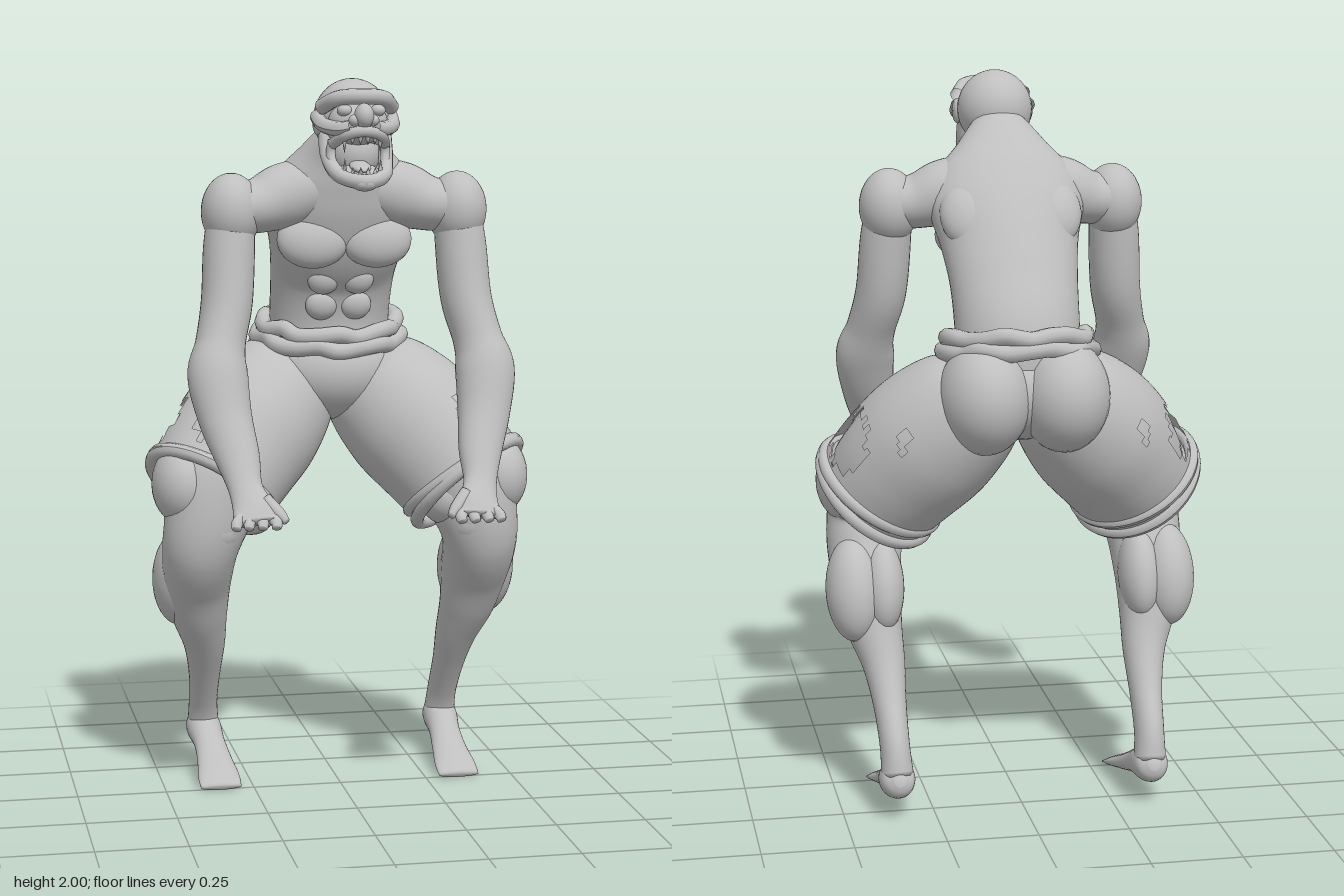
import * as THREE from 'three';

const V = (x, y, z) => new THREE.Vector3(x, y, z);
const Z = V(0, 0, 1), Y = V(0, 1, 0);

// Smooth skin through sections [x, y, z, halfWidth, halfDepth]; hole(u, angle) leaves faces out
function loft(sections, { ref = Z, sides = 32, steps = 6, open = false, hole = null } = {}) {
  const path = new THREE.CatmullRomCurve3(sections.map(s => V(s[0], s[1], s[2])), false, 'catmullrom');
  const size = new THREE.CatmullRomCurve3(sections.map(s => V(s[3], s[4] ?? s[3], 0)), false, 'catmullrom');
  const rows = (sections.length - 1) * steps, pos = [], idx = [];
  for (let i = 0; i <= rows; i++) {
    const t = i / rows, c = path.getPoint(t), r = size.getPoint(t), T = path.getTangent(t);
    const D = ref.clone().addScaledVector(T, -T.dot(ref)).normalize();
    const S = D.clone().cross(T);
    for (let j = 0; j < sides; j++) {
      const a = j / sides * Math.PI * 2;
      pos.push(...c.clone().addScaledVector(S, r.x * Math.cos(a)).addScaledVector(D, r.y * Math.sin(a)).toArray());
    }
  }
  for (let i = 0; i < rows; i++) for (let j = 0; j < sides; j++) {
    if (hole && hole((i + 0.5) / rows, (j + 0.5) / sides * 360)) continue;
    const k = (j + 1) % sides, a = i * sides + j, b = i * sides + k;
    idx.push(a, b, a + sides, b, b + sides, a + sides);
  }
  if (!open) {
    const p0 = pos.length / 3;
    pos.push(...path.getPoint(0).toArray(), ...path.getPoint(1).toArray());
    for (let j = 0; j < sides; j++) {
      const k = (j + 1) % sides;
      idx.push(p0, k, j, p0 + 1, rows * sides + j, rows * sides + k);
    }
  }
  const g = new THREE.BufferGeometry();
  g.setAttribute('position', new THREE.Float32BufferAttribute(pos, 3));
  g.setIndex(idx);
  g.computeVertexNormals();
  return g;
}

// Ellipsoid, tilted about x then z
function blob(x, y, z, rx, ry, rz, tiltX = 0, tiltZ = 0) {
  return new THREE.SphereGeometry(1, 32, 20).scale(rx, ry, rz).rotateX(tiltX).rotateZ(tiltZ).translate(x, y, z);
}

function tube(points, r, closed = false) {
  const curve = new THREE.CatmullRomCurve3(points.map(p => V(...p)), closed);
  return new THREE.TubeGeometry(curve, closed ? 80 : 28, r, 10, closed);
}

// Copy of a geometry on the other side of the body
function mirrored(geo) {
  const g = geo.clone().scale(-1, 1, 1), ix = g.index.array;
  for (let i = 0; i < ix.length; i += 3) [ix[i + 1], ix[i + 2]] = [ix[i + 2], ix[i + 1]];
  g.computeVertexNormals();
  return g;
}

export function createModel() {
  const model = new THREE.Group();
  model.name = 'crouchingGhoul';
  const clay = new THREE.MeshStandardMaterial({ color: 0xbfbfbf, side: THREE.DoubleSide });
  clay.name = 'grey clay';
  const add = (name, geo) => {
    const m = new THREE.Mesh(geo, clay);
    m.name = name;
    model.add(m);
  };
  const pair = (name, geo) => {
    add(name + 'Left', geo);
    add(name + 'Right', mirrored(geo));
  };

  // Torso leaning forward into the neck
  add('torso', loft([
    [0, 1.2, -0.18, 0.17, 0.16], [0, 1.32, -0.18, 0.17, 0.15], [0, 1.45, -0.13, 0.175, 0.13],
    [0, 1.55, -0.065, 0.19, 0.135], [0, 1.65, -0.01, 0.215, 0.125], [0, 1.73, 0.03, 0.19, 0.105],
    [0, 1.8, 0.07, 0.125, 0.08], [0, 1.86, 0.12, 0.07, 0.065]], { sides: 48 }));
  pair('chestMuscle', blob(0.088, 1.56, 0.055, 0.1, 0.08, 0.055, -0.3));
  pair('shoulderBlade', blob(0.11, 1.63, -0.085, 0.085, 0.1, 0.055, 0.5, -0.15));
  for (let i = 0; i < 2; i++)
    pair('abdominal' + (i + 1), blob(0.048, 1.37 + i * 0.075, -0.035 + i * 0.035, 0.045, 0.042, 0.03, 0.2));

  // Shoulders, arms and hands
  pair('collar', loft([[0.05, 1.71, 0.03, 0.08], [0.16, 1.68, 0.035, 0.09], [0.24, 1.655, 0.05, 0.075, 0.085],
    [0.31, 1.65, 0.06, 0.07, 0.085]]));
  pair('deltoid', blob(0.314, 1.64, 0.062, 0.082, 0.105, 0.095));
  pair('arm', loft([
    [0.31, 1.68, 0.06, 0.06, 0.07], [0.322, 1.55, 0.075, 0.07, 0.078], [0.333, 1.4, 0.1, 0.07, 0.083],
    [0.357, 1.29, 0.14, 0.068, 0.075], [0.37, 1.21, 0.175, 0.082, 0.076], [0.357, 1.1, 0.22, 0.073, 0.066],
    [0.333, 1, 0.28, 0.06, 0.05], [0.32, 0.925, 0.335, 0.046, 0.034], [0.306, 0.875, 0.382, 0.056, 0.024],
    [0.302, 0.845, 0.41, 0.064, 0.015]]));
  [0.25, 0.286, 0.322, 0.355].forEach((x, i) => pair('finger' + (i + 1), loft([
    [x * 0.6 + 0.12, 0.868, 0.385, 0.014], [x, 0.845, 0.412, 0.016, 0.014], [x + 0.003, 0.832, 0.426, 0.012, 0.009]],
    { sides: 12 })));
  pair('thumb', loft([[0.275, 0.9, 0.37, 0.02], [0.24, 0.865, 0.395, 0.017], [0.222, 0.845, 0.41, 0.01]], { sides: 12 }));

  // Pelvis and rolled waistband
  add('pelvis', blob(0, 1.175, -0.18, 0.2, 0.145, 0.185));
  pair('buttock', blob(0.108, 1.165, -0.275, 0.125, 0.155, 0.155));
  for (let k = 0; k < 2; k++) {
    const ring = [];
    for (let i = 0; i < 20; i++) {
      const a = i / 20 * Math.PI * 2, w = 0.007 * Math.sin(i * 2.3 + k * 2);
      ring.push([Math.cos(a) * (0.2 - k * 0.012) + w, 1.275 + k * 0.035 - 0.028 * Math.sin(a) + w,
        -0.185 + Math.sin(a) * (0.172 - k * 0.006)]);
    }
    add(k ? 'waistbandUpperRoll' : 'waistbandLowerRoll', tube(ring, 0.024, true));
  }

  // Torn trouser legs; angle 0 faces outward, 90 forward, 270 back
  const torn = (u, d) => {
    const a = d > 180 ? d - 360 : d, jag = 0.03 * Math.sin(a * 0.5) + 0.02 * Math.sin(a * 1.3);
    const spot = (cu, ca, ru, ra) => ((u - cu + jag) / ru) ** 2 + ((a - ca) / ra) ** 2 < 1;
    return spot(0.78, -22, 0.14, 30) || spot(0.76, 48, 0.1, 15) || spot(0.5, -62, 0.04, 6);
  };
  pair('trouserLeg', loft([
    [0.08, 1.19, -0.2, 0.12], [0.135, 1.13, -0.18, 0.17], [0.22, 1.04, -0.13, 0.198],
    [0.3, 0.95, -0.075, 0.195], [0.37, 0.86, -0.02, 0.183]], { sides: 72, steps: 12, open: true, hole: torn }));
  const axis = new THREE.Quaternion().setFromUnitVectors(Z, V(0.52, -0.7, 0.45).normalize());
  [0, 1].forEach(k => pair(k ? 'hemUpperRoll' : 'hemLowerRoll', new THREE.TorusGeometry(0.18, 0.019, 10, 56)
    .rotateX(k * 0.13).applyQuaternion(axis).translate(0.37 - k * 0.012, 0.86 + k * 0.018, -0.02 - k * 0.012)));

  // Bare legs with heavy muscles
  pair('leg', loft([
    [0.12, 1.13, -0.18, 0.14], [0.22, 1.04, -0.13, 0.182], [0.3, 0.95, -0.075, 0.18], [0.36, 0.87, -0.01, 0.155],
    [0.385, 0.78, 0.025, 0.12, 0.115], [0.4, 0.7, 0.005, 0.105, 0.115], [0.4, 0.6, -0.055, 0.095, 0.105],
    [0.39, 0.5, -0.095, 0.08, 0.085], [0.37, 0.4, -0.145, 0.06, 0.065], [0.362, 0.3, -0.205, 0.046, 0.055],
    [0.358, 0.2, -0.268, 0.041, 0.056], [0.355, 0.12, -0.295, 0.045, 0.05]]));
  pair('outerThighMuscle', blob(0.445, 0.885, 0.01, 0.088, 0.115, 0.115, -0.3));
  pair('innerThighMuscle', blob(0.31, 0.83, 0.02, 0.09, 0.085, 0.1));
  pair('kneecap', blob(0.37, 0.765, 0.06, 0.08, 0.075, 0.075));
  pair('outerCalf', blob(0.444, 0.6, -0.095, 0.078, 0.145, 0.095, 0.3));
  pair('innerCalf', blob(0.365, 0.61, -0.1, 0.06, 0.13, 0.085, 0.35));
  pair('foot', loft([
    [0.355, 0.125, -0.35, 0.015], [0.355, 0.115, -0.325, 0.042, 0.045], [0.355, 0.108, -0.28, 0.05, 0.052],
    [0.35, 0.085, -0.2, 0.045, 0.036], [0.346, 0.055, -0.12, 0.05, 0.026], [0.345, 0.028, -0.04, 0.059, 0.018],
    [0.345, 0.011, 0.01, 0.058, 0.009]], { ref: Y }));

  // Bald head with gaping jaw
  add('skull', blob(0, 1.892, 0.165, 0.104, 0.108, 0.11));
  add('face', blob(0, 1.885, 0.245, 0.08, 0.06, 0.075));
  add('throat', blob(0, 1.8, 0.19, 0.07, 0.075, 0.075));
  add('brow', tube([[-0.095, 1.925, 0.225], [-0.06, 1.95, 0.285], [0, 1.955, 0.305], [0.06, 1.95, 0.285],
    [0.095, 1.925, 0.225]], 0.021));
  add('nose', blob(0, 1.905, 0.332, 0.026, 0.033, 0.032));
  pair('nostril', blob(0.024, 1.893, 0.328, 0.017, 0.016, 0.02));
  pair('eye', blob(0.045, 1.918, 0.292, 0.02, 0.016, 0.02));
  pair('cheekbone', tube([[0.1, 1.9, 0.19], [0.092, 1.878, 0.25], [0.055, 1.87, 0.305], [0.03, 1.875, 0.322]], 0.02));
  pair('ear', blob(0.1, 1.885, 0.2, 0.014, 0.035, 0.025));
  add('upperLip', tube([[-0.07, 1.83, 0.26], [-0.045, 1.855, 0.318], [0, 1.865, 0.338], [0.045, 1.855, 0.318],
    [0.07, 1.83, 0.26]], 0.015));
  add('jaw', tube([[-0.08, 1.86, 0.2], [-0.078, 1.79, 0.235], [-0.055, 1.745, 0.31], [0, 1.733, 0.347],
    [0.055, 1.745, 0.31], [0.078, 1.79, 0.235], [0.08, 1.86, 0.2]], 0.02));
  add('chin', blob(0, 1.728, 0.34, 0.035, 0.02, 0.025));
  add('jawFloor', blob(0, 1.75, 0.265, 0.06, 0.02, 0.075, 0.3));
  add('tongue', blob(0, 1.77, 0.28, 0.028, 0.013, 0.05, 0.2));
  pair('mouthCorner', tube([[0.07, 1.84, 0.255], [0.074, 1.805, 0.25], [0.07, 1.77, 0.265]], 0.013));
  [0.01, 0.03, 0.048].forEach((x, i) => {
    const h = i === 2 ? 0.045 : 0.022, z = 0.338 - i * i * 0.006;
    pair('upperTooth' + (i + 1), new THREE.ConeGeometry(0.008, h, 8).rotateX(Math.PI).translate(x, 1.85 - h / 2, z - 0.006));
    pair('lowerTooth' + (i + 1), new THREE.ConeGeometry(0.008, h, 8).translate(x, 1.75 + h / 2, z));
  });
  return model;
}
